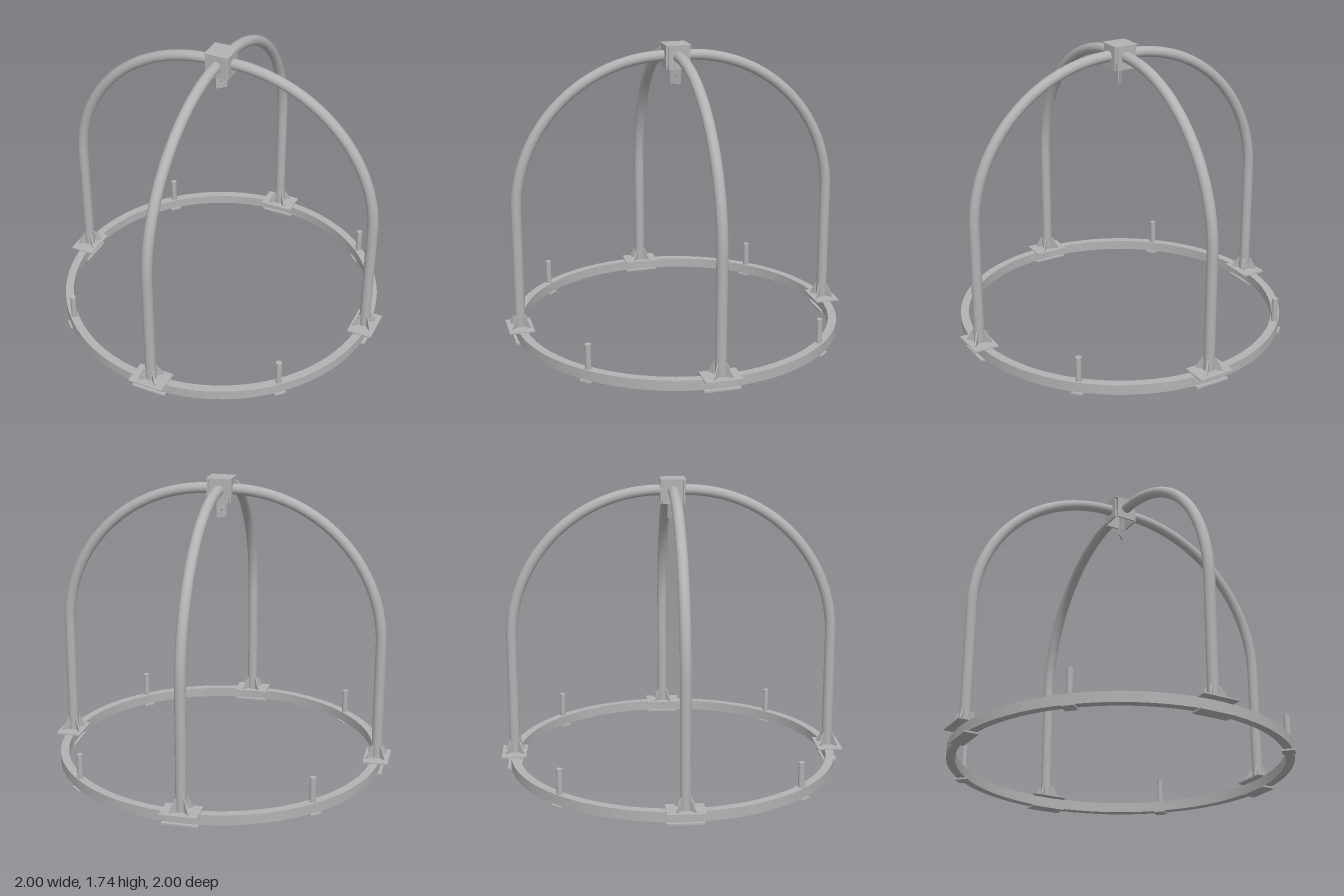
import * as THREE from 'three';
import { toCreasedNormals } from 'three/addons/utils/BufferGeometryUtils.js';

const steel = new THREE.MeshStandardMaterial({ color: 0xb2b2b2 });
steel.name = 'grey steel';

const RING_R = 0.962; // centre line of the base ring
const TUBE_R = 0.032;

function add(parent, name, geometry, x = 0, y = 0, z = 0, turn = 0) {
  const mesh = new THREE.Mesh(geometry, steel);
  mesh.name = name;
  mesh.position.set(x, y, z);
  mesh.rotation.y = turn;
  parent.add(mesh);
  return mesh;
}

// Thin plate cut from a shape, centred on its thickness
function plate(shape, depth) {
  const g = new THREE.ExtrudeGeometry(shape, { depth, bevelEnabled: false, curveSegments: 16 });
  return g.translate(0, 0, -depth / 2);
}

// Flat-topped base ring with a rectangular section
function ringGeometry() {
  const [a, b, lo, hi] = [RING_R - 0.025, RING_R + 0.025, 0.01, 0.07];
  const profile = [[b, lo], [b, hi], [a, hi], [a, lo], [b, lo]].map(p => new THREE.Vector2(...p));
  return toCreasedNormals(new THREE.LatheGeometry(profile, 96), 0.6);
}

// Upright tube that bends in a quarter circle to the hub
function legGeometry() {
  const bend = 0.89, spring = 0.78, path = new THREE.CurvePath();
  class Arc extends THREE.Curve {
    getPoint(t, out = new THREE.Vector3()) {
      const a = t * Math.PI / 2;
      return out.set(RING_R - bend + bend * Math.cos(a), spring + bend * Math.sin(a), 0);
    }
  }
  path.add(new THREE.LineCurve3(new THREE.Vector3(RING_R, 0.07, 0), new THREE.Vector3(RING_R, spring, 0)));
  path.add(new Arc());
  return new THREE.TubeGeometry(path, 80, TUBE_R, 20);
}

function buildLeg(i) {
  const leg = new THREE.Group();
  leg.name = 'leg' + (i + 1);
  add(leg, 'archTube', legGeometry());
  add(leg, 'footPlate', new THREE.BoxGeometry(0.15, 0.008, 0.215), RING_R + 0.003, 0.073, 0);
  add(leg, 'clampPlate', new THREE.BoxGeometry(0.085, 0.01, 0.21), RING_R, 0.005, 0);

  // Four tapered gussets around the foot of the tube
  const s = new THREE.Shape();
  s.moveTo(0.028, 0);
  s.lineTo(0.076, 0);
  s.lineTo(0.076, 0.01);
  s.lineTo(0.04, 0.075);
  s.lineTo(0.028, 0.075);
  const gusset = plate(s, 0.008);
  for (let k = 0; k < 4; k++) {
    add(leg, 'gusset', gusset, RING_R, 0.076, 0, Math.PI / 4 + k * Math.PI / 2);
  }
  leg.rotation.y = Math.PI / 4 + i * Math.PI / 2;
  return leg;
}

function buildPost(i) {
  const post = new THREE.Group();
  post.name = 'post' + (i + 1);
  add(post, 'pin', new THREE.CylinderGeometry(0.018, 0.018, 0.21, 20), RING_R, 0.113, 0);
  add(post, 'pad', new THREE.BoxGeometry(0.075, 0.01, 0.07), RING_R, 0.005, 0);
  post.rotation.y = i * Math.PI / 2;
  return post;
}

function buildHub() {
  const hub = new THREE.Group();
  hub.name = 'hub';
  add(hub, 'capPlate', new THREE.BoxGeometry(0.148, 0.008, 0.148), 0, 1.735, 0, Math.PI / 4);
  // Four side plates with open corners
  const side = new THREE.BoxGeometry(0.01, 0.133, 0.118);
  for (let k = 0; k < 4; k++) {
    const a = Math.PI / 4 + k * Math.PI / 2;
    add(hub, 'sidePlate', side, 0.068 * Math.cos(a), 1.6645, -0.068 * Math.sin(a), a);
  }
  // Hanging tab with an eye
  const s = new THREE.Shape();
  s.moveTo(-0.035, 1.5);
  s.lineTo(0.035, 1.5);
  s.lineTo(0.035, 1.731);
  s.lineTo(-0.035, 1.731);
  const eye = new THREE.Path();
  eye.absarc(0, 1.54, 0.008, 0, Math.PI * 2, true);
  s.holes.push(eye);
  add(hub, 'hangingTab', plate(s, 0.008));
  return hub;
}

export function createModel() {
  const model = new THREE.Group();
  model.name = 'domeFrame';
  add(model, 'baseRing', ringGeometry());
  for (let i = 0; i < 4; i++) model.add(buildLeg(i), buildPost(i));
  model.add(buildHub());
  return model;
}
